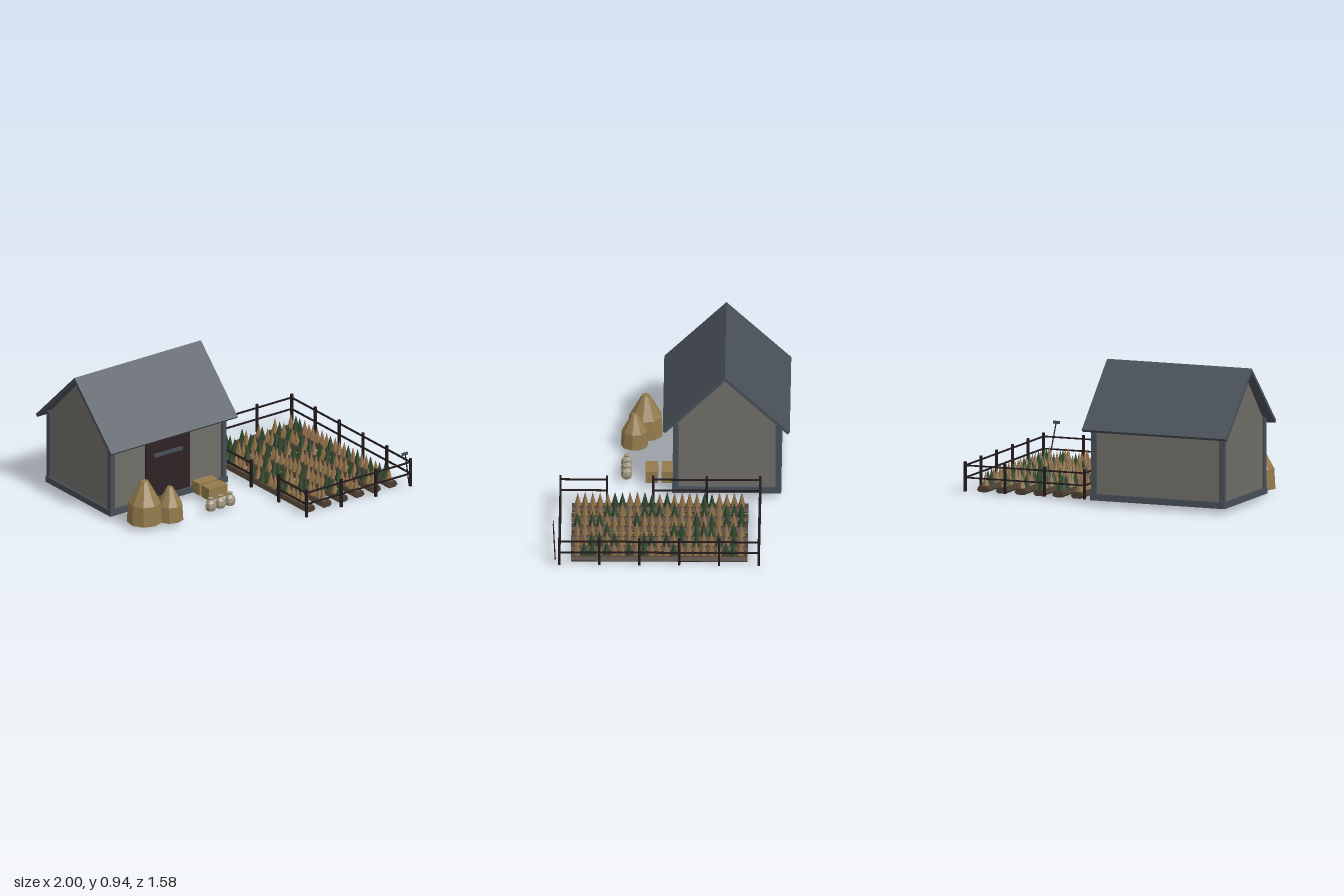
import * as THREE from 'three';
import { mergeGeometries } from 'three/addons/utils/BufferGeometryUtils.js';

const mat = (name, color) => {
  const m = new THREE.MeshStandardMaterial({ color });
  m.name = name;
  return m;
};

// Give every face its own flat normal
function facet(geo) {
  const g = geo.index ? geo.toNonIndexed() : geo;
  g.computeVertexNormals();
  return g;
}

// Box given by its min and max corners
function box(x0, x1, y0, y1, z0, z1) {
  return new THREE.BoxGeometry(x1 - x0, y1 - y0, z1 - z0)
    .translate((x0 + x1) / 2, (y0 + y1) / 2, (z0 + z1) / 2);
}

// Extrude a [z, y] outline along x
function extrudeX(points, x0, x1) {
  const shape = new THREE.Shape(points.map(([z, y]) => new THREE.Vector2(-z, y)));
  return new THREE.ExtrudeGeometry(shape, { depth: x1 - x0, bevelEnabled: false })
    .rotateY(Math.PI / 2).translate(x0, 0, 0);
}

// Faceted turned shape from [radius, y] points
function turned(profile, sides) {
  return facet(new THREE.LatheGeometry(profile.map(([r, y]) => new THREE.Vector2(r, y)), sides));
}

let seed = 11;
const rand = () => {
  seed = (seed * 16807) % 2147483647;
  return seed / 2147483647;
};

export function createModel() {
  const model = new THREE.Group();
  model.name = 'farmstead';
  const slate = mat('slate', 0x484f58);
  const plaster = mat('plaster', 0x706e67);
  const doorWood = mat('doorWood', 0x2f2325);
  const straw = mat('straw', 0x927a4c);
  const crateWood = mat('crateWood', 0x937c4c);
  const sackcloth = mat('sackcloth', 0xa09680);
  const soil = mat('soil', 0x4c3e32);
  const dryLeaf = mat('dryLeaf', 0x8f7048);
  const greenLeaf = mat('greenLeaf', 0x2c4628);
  const fenceWood = mat('fenceWood', 0x231b1d);

  const add = (name, geo, material, parent = model) => {
    const mesh = new THREE.Mesh(geo, material);
    mesh.name = name;
    parent.add(mesh);
    return mesh;
  };
  const group = (name) => {
    const g = new THREE.Group();
    g.name = name;
    model.add(g);
    return g;
  };

  // Barn: plinth, gabled body, corner posts
  const barn = group('barn');
  add('plinth', box(-0.962, 0.018, 0.035, 0.078, -0.732, 0), slate, barn);
  add('walls', extrudeX([[-0.022, 0.07], [-0.71, 0.07], [-0.71, 0.545], [-0.356, 0.905], [-0.035, 0.55], [-0.022, 0.545]],
    -0.945, 0.003), plaster, barn);
  for (const x of [-0.957, -0.023]) {
    for (const z of [-0.043, -0.729]) {
      add('cornerPost', box(x, x + 0.036, 0.07, 0.552, z, z + 0.036), slate, barn);
    }
  }

  // Roof slabs meeting at the ridge
  add('frontRoof', extrudeX([[0.062, 0.525], [-0.355, 0.938], [-0.355, 0.908], [0.047, 0.51]], -1, 0.055), slate, barn);
  add('backRoof', extrudeX([[-0.355, 0.938], [-0.79, 0.52], [-0.775, 0.504], [-0.355, 0.908]], -1, 0.055), slate, barn);

  // Door with its bar
  add('door', box(-0.658, -0.288, 0.078, 0.478, -0.03, -0.013), doorWood, barn);
  add('doorBar', box(-0.59, -0.355, 0.367, 0.393, -0.014, -0.005), slate, barn);

  // Haystacks
  const stacks = [[-0.815, 0.185, 0.12, 0.295], [-0.657, 0.257, 0.093, 0.235]];
  for (const [x, z, r, h] of stacks) {
    const geo = turned([[0, 0], [r, 0], [r * 0.93, h * 0.47], [r * 0.22, h * 0.99], [0, h]], 9);
    add('haystack', geo, straw).position.set(x, 0.035, z);
  }

  // Tied sacks
  for (const x of [-0.353, -0.273, -0.193]) {
    const geo = turned([[0, 0], [0.03, 0], [0.039, 0.025], [0.034, 0.055], [0.015, 0.075], [0.02, 0.088], [0, 0.09]], 7);
    add('sack', geo, sackcloth).position.set(x, 0.035, 0.307);
  }

  // Crates
  add('frontCrate', box(-0.272, -0.118, 0.035, 0.12, 0.095, 0.18), crateWood);
  add('backCrate', box(-0.272, -0.118, 0.035, 0.12, -0.008, 0.071), crateWood);

  // Planted beds
  const field = group('field');
  const dry = [], green = [];
  for (let row = 0; row < 6; row++) {
    const x = 0.209 + row * 0.1368;
    const outline = [[-0.026, 0.002], [0.026, 0.002], [0.043, 0.016], [0.031, 0.043], [-0.031, 0.043], [-0.043, 0.016]];
    const shape = new THREE.Shape(outline.map(([u, v]) => new THREE.Vector2(u, v)));
    const bed = new THREE.ExtrudeGeometry(shape, { depth: 1.185, bevelEnabled: false });
    add('bed', bed.translate(x, 0, -0.515), soil, field);
    for (let i = 0; i < 23; i++) {
      const h = 0.1 + rand() * 0.012;
      const plant = facet(new THREE.ConeGeometry(0.027, h, 5))
        .rotateY(rand() * 6.28)
        .translate(x + (rand() - 0.5) * 0.01, 0.038 + h / 2, 0.63 - i * 0.05);
      const isGreen = rand() < 0.36;
      (isGreen && !(i === 0 && row !== 2) || (i === 0 && row === 2) ? green : dry).push(plant);
    }
  }
  add('dryPlants', mergeGeometries(dry), dryLeaf, field);
  add('greenPlants', mergeGeometries(green), greenLeaf, field);

  // Fence posts and rails, with a gate gap on the barn side
  const fence = group('fence');
  const [fx0, fx1, fz0, fz1] = [0.12, 0.988, -0.592, 0.747];
  const posts = [[fx0, -0.235], [fx0, 0.125], [fx0, 0.435]];
  for (let i = 0; i < 4; i++) {
    const x = fx0 + (fx1 - fx0) * i / 3;
    posts.push([x, fz0], [x, fz1]);
  }
  for (let i = 1; i < 5; i++) posts.push([fx1, fz0 + (fz1 - fz0) * i / 5]);
  for (const [x, z] of posts) {
    add('fencePost', box(x - 0.008, x + 0.008, 0.015, 0.217, z - 0.008, z + 0.008), fenceWood, fence);
  }
  const t = 0.005;
  for (const y of [0.108, 0.191]) {
    for (const z of [fz0, fz1]) add('rail', box(fx0, fx1, y - t, y + t, z - t, z + t), fenceWood, fence);
    for (const [x, z0, z1] of [[fx1, fz0, fz1], [fx0, fz0, 0.125], [fx0, 0.435, fz1]]) {
      add('rail', box(x - t, x + t, y - t, y + t, z0, z1), fenceWood, fence);
    }
  }

  // Hoe leaning by the fence
  const hoe = group('hoe');
  const path = new THREE.LineCurve3(new THREE.Vector3(0.957, 0.035, 0.774), new THREE.Vector3(0.914, 0.285, 0.788));
  add('handle', new THREE.TubeGeometry(path, 1, 0.004, 6), fenceWood, hoe);
  const head = add('blade', new THREE.BoxGeometry(0.048, 0.02, 0.008), slate, hoe);
  head.position.set(0.91, 0.285, 0.787);

  return model;
}
